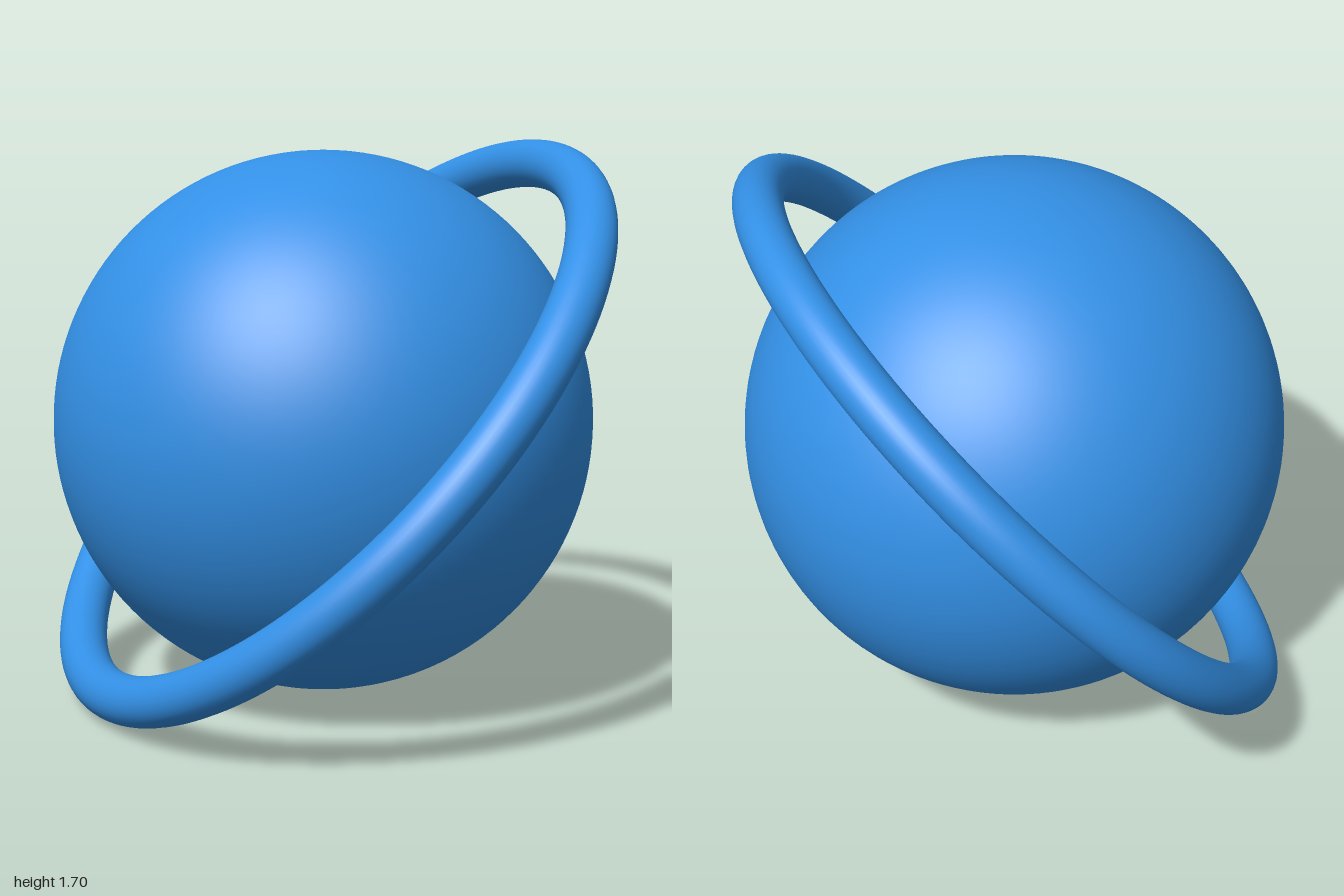
import * as THREE from 'three';

export function createModel() {
  const group = new THREE.Group();
  const blue = new THREE.MeshStandardMaterial({ color: 0x3390e6 });
  const centreY = 0.854;

  // Round planet body
  const planet = new THREE.Mesh(new THREE.SphereGeometry(0.827, 96, 64), blue);
  planet.name = 'planet';
  planet.position.y = centreY;
  group.add(planet);

  // Tilted ring floating around the planet; its axis leans left and forward
  const ring = new THREE.Mesh(new THREE.TorusGeometry(1.061, 0.075, 32, 160), blue);
  ring.name = 'ring';
  ring.position.y = centreY;
  const axis = new THREE.Vector3(-0.542, 0.68, 0.491).normalize();
  ring.quaternion.setFromUnitVectors(new THREE.Vector3(0, 0, 1), axis);
  group.add(ring);

  return group;
}
